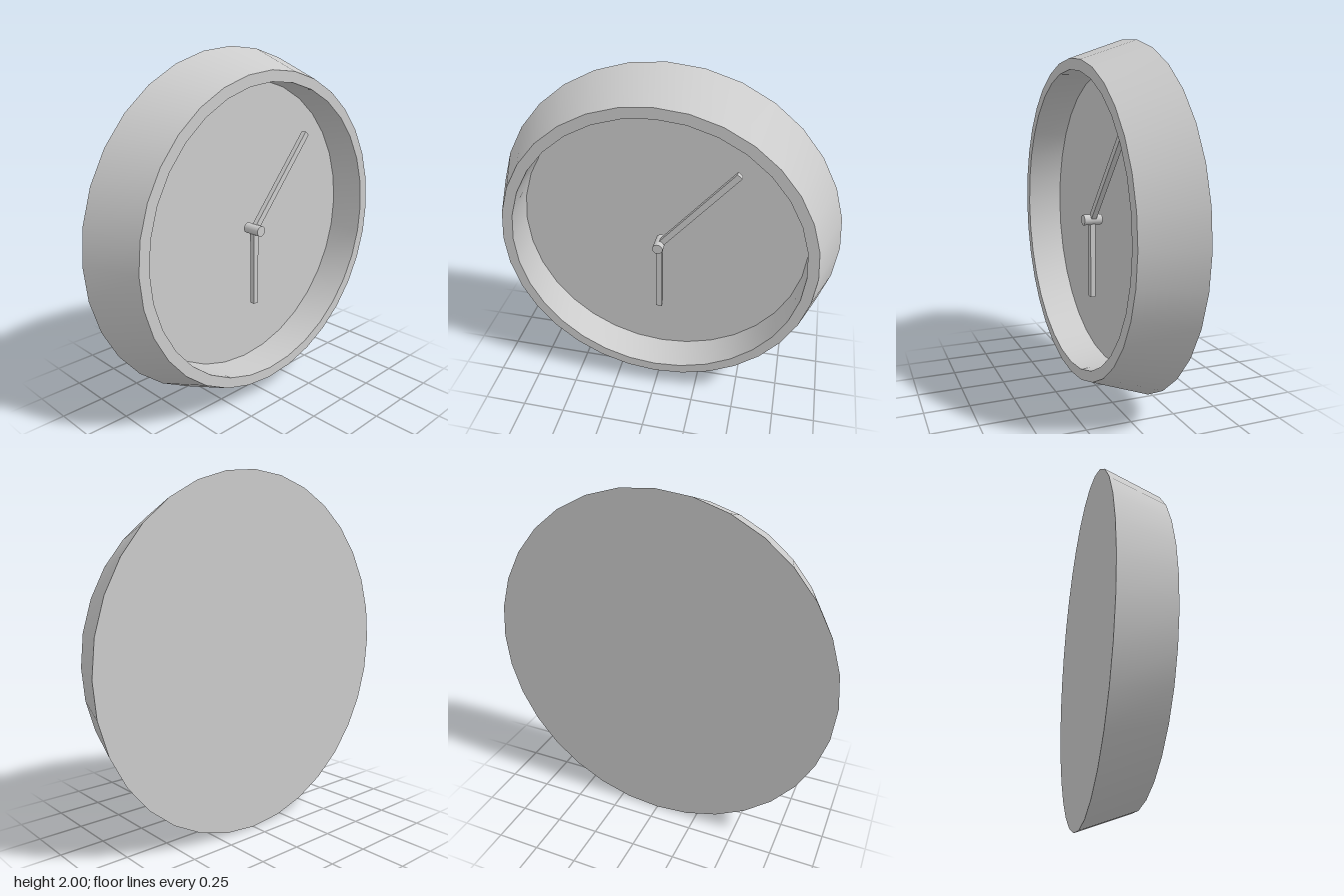
import * as THREE from 'three';
import { toCreasedNormals } from 'three/addons/utils/BufferGeometryUtils.js';

const SIDES = 32;
const material = new THREE.MeshStandardMaterial({ color: 0xcccccc });

function addMesh(parent, name, geometry) {
  const mesh = new THREE.Mesh(geometry, material);
  mesh.name = name;
  parent.add(mesh);
  return mesh;
}

// Hand: a slim bar reaching from the centre, turned about the clock's x axis
function addHand(parent, name, length, angle) {
  const bar = new THREE.BoxGeometry(0.03, length, 0.035);
  bar.translate(0.024, length / 2, 0);
  addMesh(parent, name, bar).rotation.x = angle;
}

export function createModel() {
  const clock = new THREE.Group();
  clock.name = 'wallClock';
  clock.position.y = 1; // clock faces +x, standing on its rim

  // Tapered case: closed back, sloping outer wall, flat rim, straight inner wall
  const profile = [
    [0, -0.155], [1, -0.155], [0.89, 0.155], [0.83, 0.155], [0.83, -0.06],
  ].map(([r, y]) => new THREE.Vector2(r, y));
  const caseGeometry = toCreasedNormals(new THREE.LatheGeometry(profile, SIDES), 0.5);
  addMesh(clock, 'case', caseGeometry).rotation.z = -Math.PI / 2;

  // Recessed dial
  const dial = addMesh(clock, 'dial', new THREE.CircleGeometry(0.83, SIDES));
  dial.rotation.y = Math.PI / 2;
  dial.position.x = -0.06;

  // Centre pin and hands
  const pin = addMesh(clock, 'centrePin', new THREE.CylinderGeometry(0.03, 0.03, 0.107, SIDES));
  pin.rotation.z = -Math.PI / 2;
  pin.position.x = 0.025;
  addHand(clock, 'minuteHand', 0.656, -0.705);
  addHand(clock, 'hourHand', 0.45, Math.PI);

  const model = new THREE.Group();
  model.add(clock);
  return model;
}
